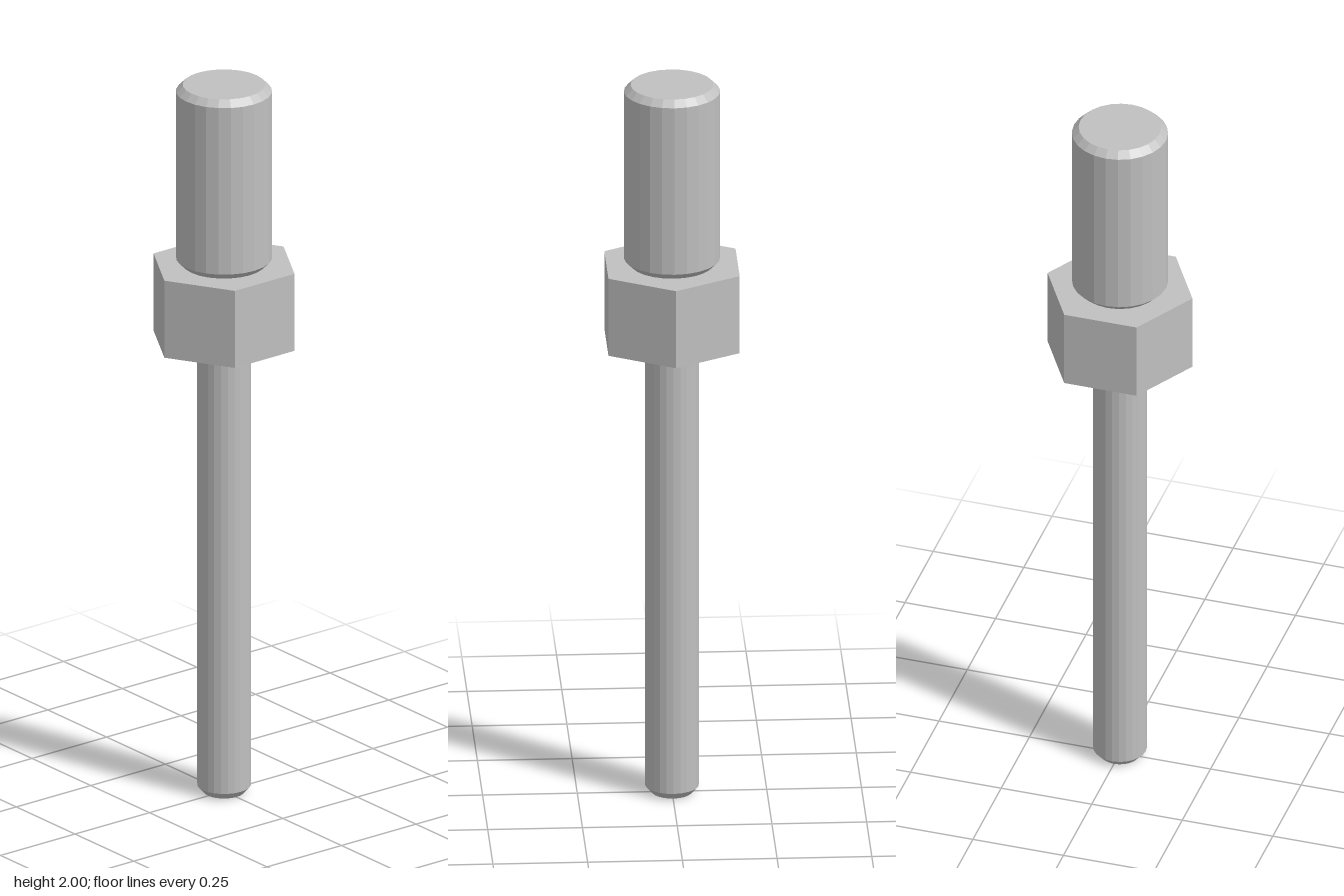
import * as THREE from 'three';

export function createModel() {
  const group = new THREE.Group();
  const steel = new THREE.MeshStandardMaterial({ color: 0xc0c0c0, flatShading: true });
  steel.name = 'steel grey';

  const add = (name, geometry) => {
    const mesh = new THREE.Mesh(geometry, steel);
    mesh.name = name;
    group.add(mesh);
    return mesh;
  };

  // Round bar with a chamfer at both ends
  const chamferedBar = (name, y0, y1, radius, chamferWidth, chamferHeight) => {
    const end = radius - chamferWidth;
    const profile = [
      [0, y0], [end, y0], [radius, y0 + chamferHeight],
      [radius, y1 - chamferHeight], [end, y1], [0, y1],
    ].map(([x, y]) => new THREE.Vector2(x, y));
    return add(name, new THREE.LatheGeometry(profile, 24));
  };

  chamferedBar('lowerPin', 0, 1.277, 0.071, 0.018, 0.02);
  chamferedBar('upperStud', 1.493, 2, 0.127, 0.018, 0.018);

  // Hexagonal collar with corners on the x axis
  const collar = add('hexCollar', new THREE.CylinderGeometry(0.2, 0.2, 0.218, 6, 1, false, Math.PI / 6));
  collar.position.y = 1.384;

  return group;
}
